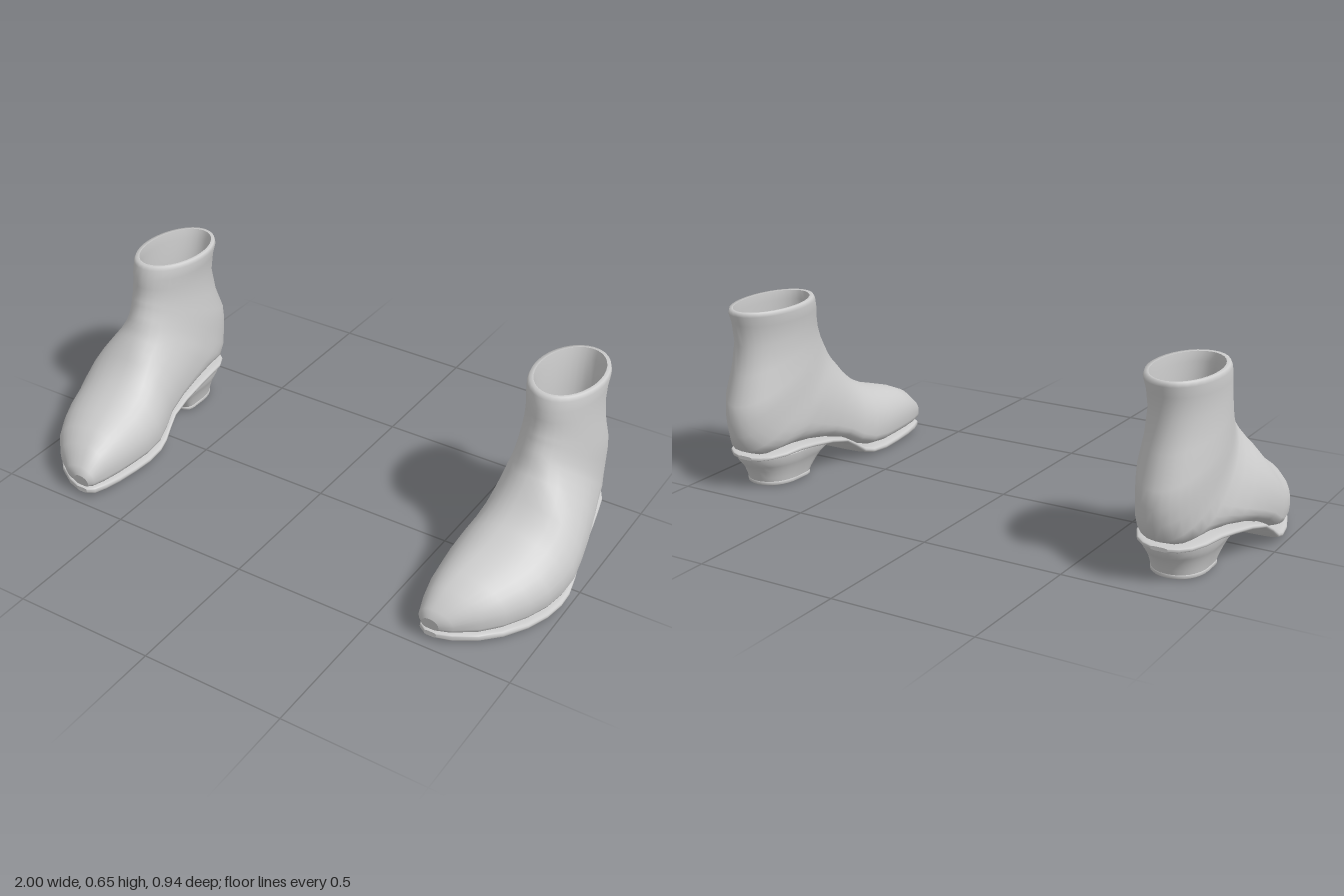
import * as THREE from 'three';

const SEGMENTS = 32;

// Cross-section rows: [upper/front z, y, lower/back z, y, inner x, outer x, ridge x,
//                      height fraction of widest point, lower exponent, upper exponent]
const foot = [
  [0.468, 0.090, 0.460, 0.045, 0.670, 0.730, 0.700, 0.45, 3],
  [0.456, 0.120, 0.446, 0.042, 0.652, 0.775, 0.702, 0.42, 3],
  [0.400, 0.172, 0.400, 0.038, 0.638, 0.845, 0.715, 0.38, 4],
  [0.340, 0.200, 0.340, 0.036, 0.625, 0.900, 0.730, 0.35, 4],
  [0.270, 0.222, 0.260, 0.033, 0.617, 0.945, 0.745, 0.33, 4],
  [0.210, 0.240, 0.180, 0.031, 0.611, 0.975, 0.758, 0.33, 4],
  [0.145, 0.272, 0.110, 0.035, 0.615, 0.990, 0.770, 0.32, 4],
  [0.105, 0.300, 0.050, 0.055, 0.628, 0.999, 0.778, 0.32, 4],
  [0.070, 0.335, -0.010, 0.090, 0.642, 0.996, 0.783, 0.32, 4],
  [0.045, 0.370, -0.100, 0.120, 0.648, 0.983, 0.788, 0.33, 4],
  [0.020, 0.400, -0.200, 0.137, 0.650, 0.963, 0.790, 0.36, 3.6],
  [0.005, 0.425, -0.300, 0.142, 0.652, 0.942, 0.790, 0.42, 3.2],
  [-0.005, 0.450, -0.400, 0.133, 0.655, 0.927, 0.790, 0.46, 2.6],
];
const shaft = [
  [-0.015, 0.470, -0.448, 0.155, 0.659, 0.920, 0.790, 0.50, 2.2],
  [-0.025, 0.490, -0.468, 0.210, 0.662, 0.919, 0.790, 0.50, 2],
  [-0.030, 0.505, -0.474, 0.260, 0.664, 0.918, 0.790, 0.50, 2],
  [-0.035, 0.520, -0.470, 0.320, 0.668, 0.916, 0.790, 0.50, 2],
  [-0.043, 0.540, -0.430, 0.420, 0.675, 0.911, 0.790, 0.50, 2],
  [-0.047, 0.570, -0.410, 0.520, 0.678, 0.906, 0.790, 0.50, 2],
  [-0.050, 0.605, -0.420, 0.595, 0.672, 0.906, 0.790, 0.50, 2],
  [-0.060, 0.640, -0.432, 0.630, 0.666, 0.908, 0.790, 0.50, 2],
  [-0.068, 0.653, -0.429, 0.645, 0.671, 0.903, 0.790, 0.50, 2],
  [-0.082, 0.652, -0.417, 0.645, 0.684, 0.890, 0.790, 0.50, 2],
];
const lining = [
  [-0.082, 0.652, -0.417, 0.645, 0.684, 0.890, 0.790, 0.50, 2],
  [-0.085, 0.620, -0.408, 0.610, 0.688, 0.887, 0.790, 0.50, 2],
  [-0.070, 0.540, -0.392, 0.500, 0.693, 0.890, 0.790, 0.50, 2],
  [-0.030, 0.430, -0.410, 0.380, 0.690, 0.895, 0.790, 0.50, 2],
  [0.000, 0.300, -0.420, 0.260, 0.690, 0.895, 0.790, 0.50, 2],
  [-0.010, 0.175, -0.375, 0.165, 0.712, 0.872, 0.790, 0.50, 2],
];
// Sole stations: [z, bottom y, top y, inner x, outer x]
const sole = [
  [0.462, 0.018, 0.036, 0.680, 0.722],
  [0.445, 0.013, 0.041, 0.655, 0.772],
  [0.400, 0.011, 0.041, 0.638, 0.842],
  [0.340, 0.008, 0.038, 0.627, 0.897],
  [0.260, 0.005, 0.034, 0.620, 0.944],
  [0.180, 0.002, 0.032, 0.617, 0.972],
  [0.110, 0.007, 0.035, 0.622, 0.986],
  [0.065, 0.020, 0.050, 0.630, 0.990],
  [0.020, 0.055, 0.080, 0.640, 0.986],
  [-0.020, 0.082, 0.104, 0.648, 0.978],
  [-0.100, 0.101, 0.124, 0.655, 0.963],
  [-0.200, 0.116, 0.138, 0.660, 0.945],
  [-0.270, 0.122, 0.145, 0.664, 0.930],
  [-0.340, 0.120, 0.140, 0.676, 0.912],
  [-0.390, 0.117, 0.136, 0.702, 0.886],
  [-0.415, 0.115, 0.132, 0.732, 0.855],
  [-0.427, 0.116, 0.129, 0.765, 0.822],
].map(([z, y0, y1, xi, xo]) => [z, y1, z, y0, xi, xo, (xi + xo) / 2, 0.5, 4, 4]);

// Heel levels, bottom to top: [y, front z, back z, half width]
const levels = (list) => list.map(([y, z0, z1, w]) =>
  [z0, y, z1, y, 0.793 - w, 0.793 + w, 0.793, 0.55, 2.1, 6]);
const heelTip = levels([
  [0.005, -0.166, -0.364, 0.088], [0.008, -0.161, -0.368, 0.092], [0.017, -0.161, -0.369, 0.092],
  [0.020, -0.165, -0.367, 0.089],
]);
const heel = levels([
  [0.018, -0.163, -0.367, 0.090], [0.035, -0.152, -0.373, 0.094], [0.060, -0.133, -0.383, 0.102],
  [0.082, -0.112, -0.400, 0.111], [0.100, -0.085, -0.416, 0.121], [0.122, -0.080, -0.422, 0.124],
]);

// Loft a surface through the rows; side is +1 (left) or -1 (right)
function loft(rows, side, capStart, capEnd) {
  const pos = [], index = [];
  const tri = (a, b, c) => (side > 0 ? index.push(a, b, c) : index.push(a, c, b));
  const addRing = ([tz, ty, bz, by, xi, xo, xc, f, nb, nt = 2]) => {
    const start = pos.length / 3;
    for (let j = 0; j < SEGMENTS; j++) {
      const a = (j / SEGMENTS) * Math.PI * 2, c = Math.cos(a), s = Math.sin(a);
      const e = 2 / (c >= 0 ? nt : nb);
      const v = c >= 0 ? f + (1 - f) * Math.pow(c, e) : f - f * Math.pow(-c, e);
      const w = Math.pow(Math.abs(s), e);
      const x = s >= 0 ? xc + (xo - xc) * w : xc + (xi - xc) * w;
      pos.push(side * x, by + (ty - by) * v, bz + (tz - bz) * v);
    }
    return start;
  };
  const starts = rows.map(addRing);
  for (let i = 0; i + 1 < starts.length; i++) {
    for (let j = 0; j < SEGMENTS; j++) {
      const k = (j + 1) % SEGMENTS, p = starts[i], q = starts[i + 1];
      tri(p + j, p + k, q + j);
      tri(p + k, q + k, q + j);
    }
  }
  const cap = (row, atEnd) => {
    const s = addRing(row), m = pos.length / 3;
    const [tz, ty, bz, by, , , xc] = row;
    pos.push(side * xc, (ty + by) / 2, (tz + bz) / 2);
    for (let j = 0; j < SEGMENTS; j++) {
      const k = (j + 1) % SEGMENTS;
      if (atEnd) tri(m, s + j, s + k);
      else tri(m, s + k, s + j);
    }
  };
  if (capStart) cap(rows[0], false);
  if (capEnd) cap(rows[rows.length - 1], true);
  const g = new THREE.BufferGeometry();
  g.setAttribute('position', new THREE.Float32BufferAttribute(pos, 3));
  g.setIndex(index);
  g.computeVertexNormals();
  return g;
}

export function createModel() {
  const leather = new THREE.MeshStandardMaterial({ color: 0xcccccc });
  leather.name = 'light grey leather';
  const model = new THREE.Group();
  model.name = 'pairOfBoots';

  for (const side of [1, -1]) {
    const boot = new THREE.Group();
    boot.name = side > 0 ? 'leftBoot' : 'rightBoot';
    const add = (name, rows, capStart, capEnd) => {
      const mesh = new THREE.Mesh(loft(rows, side, capStart, capEnd), leather);
      mesh.name = name;
      boot.add(mesh);
    };
    add('upper', [...foot, ...shaft], true, false);
    add('liningAndInsole', lining, false, true);
    add('sole', sole, true, true);
    add('heel', heel, true, true);
    add('heelTip', heelTip, true, true);
    model.add(boot);
  }
  return model;
}
